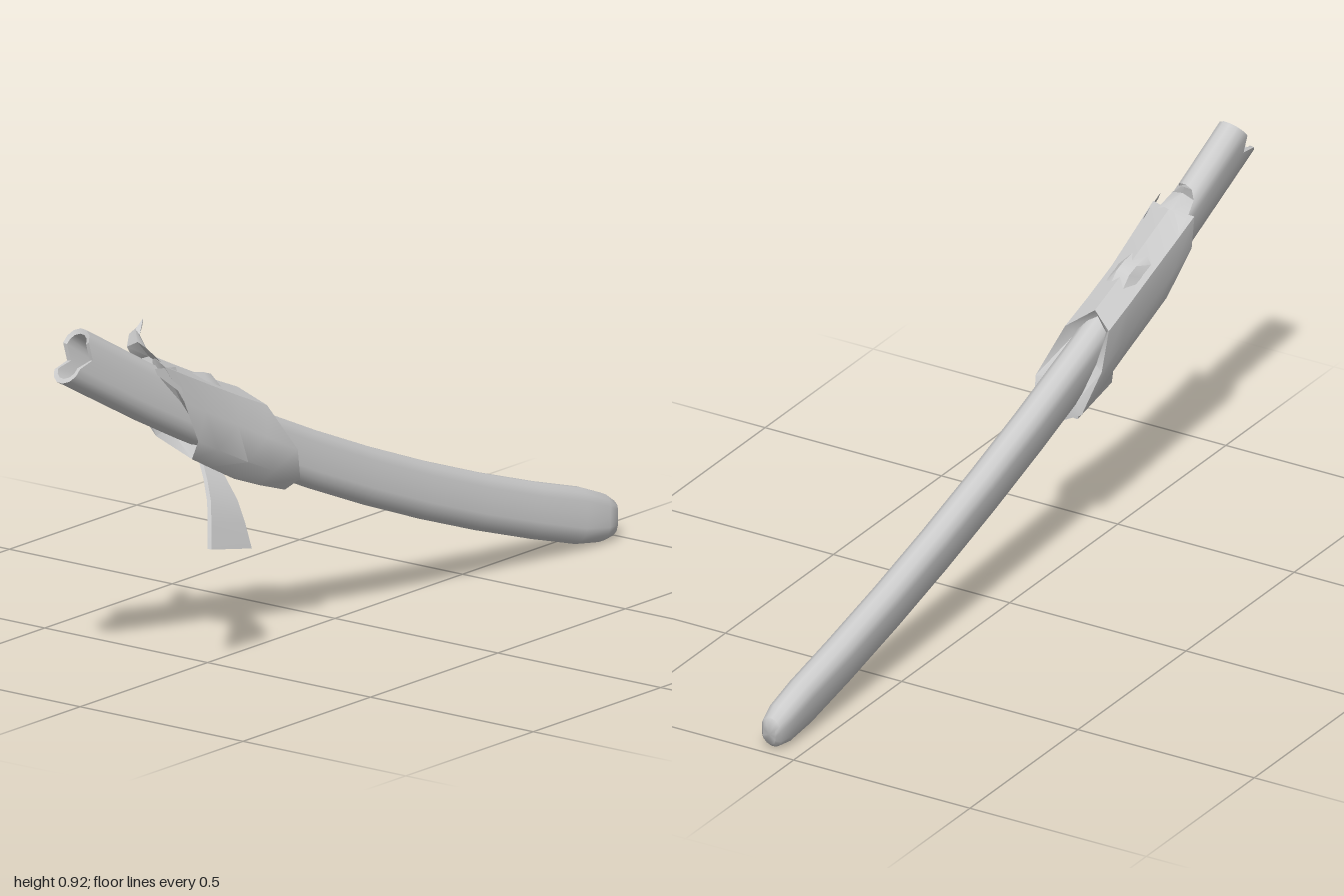
import * as THREE from 'three';
import { toCreasedNormals } from 'three/addons/utils/BufferGeometryUtils.js';

const grey = new THREE.MeshStandardMaterial({ color: 0xcccccc, side: THREE.DoubleSide });
const ROLL = 0.19;

// point beside the curved spine: u across, v upwards
function place(z, u, v) {
  const p = new THREE.Vector3(0.011 - 0.065 * z, 0.388 + 0.4207 * z + 0.0825 * z * z, z);
  const t = new THREE.Vector3(-0.065, 0.4207 + 0.165 * z, 1).normalize();
  const b = new THREE.Vector3(0, 1, 0).cross(t).normalize();
  const n = t.clone().cross(b);
  const c = Math.cos(ROLL), s = Math.sin(ROLL);
  return p.addScaledVector(b, u * c - v * s).addScaledVector(n, u * s + v * c);
}

// skin over rows of points; rows may be closed rings with end caps
function loft(rows, { closed = true, capStart = false, capEnd = false, crease = 0.7 } = {}) {
  const m = rows[0].length, pts = rows.flat(), index = [];
  for (let i = 0; i < rows.length - 1; i++) {
    for (let j = 0; j < (closed ? m : m - 1); j++) {
      const a = i * m + j, b = i * m + (j + 1) % m;
      index.push(a, b, a + m, b, b + m, a + m);
    }
  }
  const cap = (row, start, flip) => {
    const k = pts.length;
    const mid = new THREE.Vector3();
    row.forEach((p) => mid.addScaledVector(p, 1 / m));
    pts.push(mid);
    for (let j = 0; j < m; j++) {
      const a = start + j, b = start + (j + 1) % m;
      if (flip) index.push(k, b, a); else index.push(k, a, b);
    }
  };
  if (capStart) cap(rows[0], 0, true);
  if (capEnd) cap(rows[rows.length - 1], (rows.length - 1) * m, false);
  const geo = new THREE.BufferGeometry().setFromPoints(pts);
  geo.setIndex(index);
  return toCreasedNormals(geo, crease);
}

// flat-sided oval section with a point in the middle of each side
function oval(hw, hh) {
  const out = [];
  for (const s of [1, -1]) {
    out.push([s * hw, 0]);
    for (let k = 0; k <= 6; k++) {
      const a = k * Math.PI / 6;
      out.push([s * hw * Math.cos(a), s * (hh - hw + hw * Math.sin(a))]);
    }
  }
  return out;
}

function add(group, name, geo) {
  const mesh = new THREE.Mesh(geo, grey);
  mesh.name = name;
  group.add(mesh);
}

export function createModel() {
  const group = new THREE.Group();
  group.name = 'wrappedScabbard';

  // scabbard body: [z, half width, half height] from tip to mouth
  const body = [[-0.99, 0.018, 0.03], [-0.98, 0.028, 0.046], [-0.945, 0.035, 0.06], [-0.86, 0.037, 0.07]];
  for (let z = -0.7; z < 0.9; z += 0.2) body.push([z, 0.038, 0.0715 + 0.002 * z]);
  const rows = body.map(([z, w, h]) => oval(w, h).map(([u, v]) => place(z, u, v)));
  // notched mouth, rim and cavity
  const mouth = (w, h, z) => oval(w, h).map(([u, v]) =>
    place(z - 0.012 * v / h - (v === 0 ? 0.03 : 0), u, v));
  rows.push(mouth(0.039, 0.075, 0.967), mouth(0.029, 0.062, 0.965), mouth(0.022, 0.045, 0.86));
  add(group, 'scabbard', loft(rows, { capStart: true, capEnd: true }));

  // cloth sleeve: slanted ends, eight corners starting at +x and going over the top
  const back = [0.24, 0.34, 0.39, 0.37, 0.31, 0.23, 0.19, 0.19];
  const front = [0.63, 0.72, 0.70, 0.72, 0.68, 0.58, 0.52, 0.55];
  const shape = [[0.06, 0], [0.05, 0.07], [0, 0.1], [-0.05, 0.07], [-0.06, 0], [-0.05, -0.075], [0, -0.112], [0.05, -0.075]];
  const backShape = [[0.08, -0.01], [0.055, 0.075], [0, 0.108], [-0.05, 0.08], [-0.062, 0], [-0.052, -0.075], [0.012, -0.097], [0.055, -0.07]];
  const frontShape = [[0.06, 0], [0.062, 0.06], [0, 0.094], [-0.056, 0.07], [-0.066, 0], [-0.055, -0.07], [0.012, -0.11], [0.05, -0.075]];
  const ring = (f, sec, k = 1) => sec.map(([u, v], j) =>
    place(back[j] + (front[j] - back[j]) * f, u * k, v * k));
  const mix = (a, b, f) => a.map(([u, v], j) => [u + (b[j][0] - u) * f, v + (b[j][1] - v) * f]);
  add(group, 'clothSleeve', loft([
    ring(0.03, backShape, 0.62), ring(0, backShape),
    ring(0.25, mix(backShape, shape, 0.6)), ring(0.5, shape),
    ring(0.8, mix(shape, frontShape, 0.6)), ring(1, frontShape), ring(0.95, frontShape, 0.62),
  ], { crease: 0.75 }));

  // small fold across the top of the sleeve
  const fold = [[0.47, 0.095], [0.505, 0.116], [0.535, 0.112], [0.58, 0.094]];
  add(group, 'sleeveFold', loft(fold.map(([z, v]) =>
    [[-0.045, 0.065], [-0.02, v - 0.008], [0.015, v - 0.008], [0.045, 0.065]].map(([u, w]) => place(z, u, w))),
  { closed: false }));

  // curled cloth point above the front edge: [z, left, right, height]
  const curl = [[0.64, -0.05, 0.04, 0.08], [0.7, -0.048, 0.035, 0.09], [0.74, -0.045, 0.015, 0.115],
    [0.748, -0.038, -0.005, 0.145], [0.73, -0.022, -0.018, 0.178]];
  add(group, 'clothCurl', loft(curl.map(([z, l, r, v]) =>
    [place(z, l, v - 0.012), place(z, (l + r) / 2, v), place(z, r, v - 0.015)]), { closed: false }));

  // side tooth of the front edge
  add(group, 'clothTooth', loft([
    [place(0.67, 0.052, 0.075), place(0.64, 0.062, 0.015)],
    [place(0.755, 0.066, 0.042), place(0.745, 0.068, 0.03)],
  ], { closed: false }));

  // hanging tail of the cloth: [x, y, back z, front z]
  const tail = [[-0.03, 0.51, 0.455, 0.49], [0.005, 0.468, 0.445, 0.515], [0.04, 0.42, 0.442, 0.545],
    [0.062, 0.37, 0.44, 0.572], [0.083, 0.312, 0.44, 0.598]];
  add(group, 'clothTail', loft(tail.map(([x, y, z0, z1], i) => {
    const d = 0.006, drop = i * 0.004;
    return [[x - d, y - drop, z0], [x + d, y - drop, z0], [x + d, y + drop, z1], [x - d, y + drop, z1]]
      .map((p) => new THREE.Vector3(...p));
  }), { capStart: true, capEnd: true }));

  return group;
}
